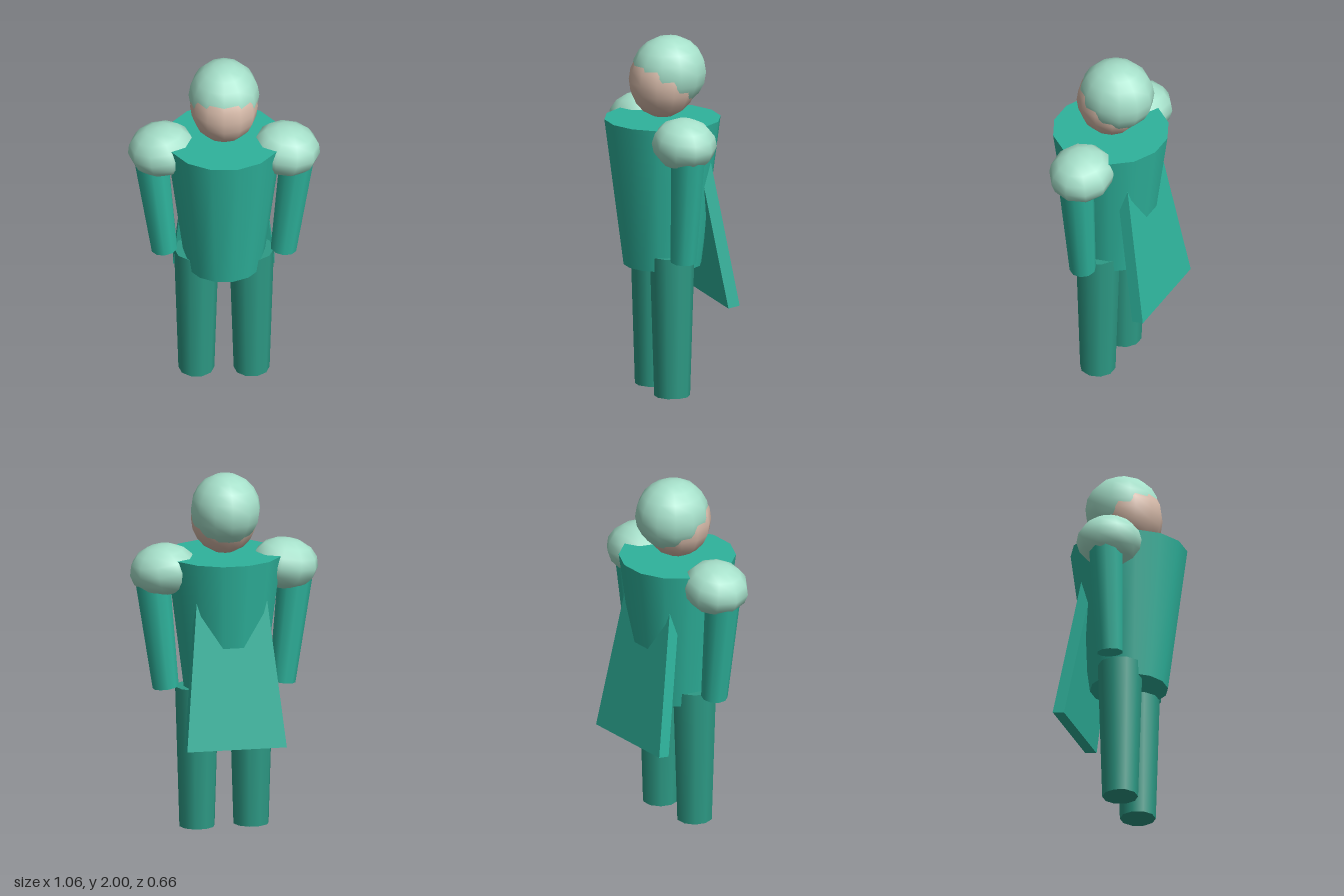
import * as THREE from 'three';

const material = (name, color) => {
  const m = new THREE.MeshStandardMaterial({ color });
  m.name = name;
  return m;
};

export function createModel() {
  const model = new THREE.Group();
  model.name = 'capedFigure';
  const teal = material('teal', 0x2eb39c);
  const darkTeal = material('darkTeal', 0x2d9a85);
  const mint = material('mint', 0xa6e0ca);
  const skin = material('skin', 0xd6baa9);
  const midZ = 0.016;

  const add = (name, geometry, mat, x, y, z) => {
    const mesh = new THREE.Mesh(geometry, mat);
    mesh.name = name;
    mesh.position.set(x, y, z);
    model.add(mesh);
    return mesh;
  };

  // Torso flares towards the shoulders
  add('torso', new THREE.CylinderGeometry(0.323, 0.216, 0.825, 14, 1, false, Math.PI / 2),
    teal, 0, 1.1275, midZ);

  // Head, with a slightly larger hair cap set up and back
  const head = new THREE.SphereGeometry(1, 12, 10).scale(0.187, 0.205, 0.19);
  add('head', head, skin, 0, 1.75, 0.015);
  const hair = new THREE.SphereGeometry(1, 12, 10).scale(0.195, 0.2, 0.21);
  add('hair', hair, mint, 0, 1.8, -0.022);

  // Mirrored limbs
  for (const side of [1, -1]) {
    const label = side > 0 ? 'left' : 'right';
    add(label + 'Leg', new THREE.CylinderGeometry(0.123, 0.099, 0.795, 10, 1, false, Math.PI / 2),
      darkTeal, side * 0.152, 0.3975, midZ);

    const arm = add(label + 'Arm', new THREE.CylinderGeometry(0.098, 0.073, 0.65, 10),
      teal, side * 0.367, 1.12, midZ);
    arm.rotation.z = -side * 0.12;

    const pad = new THREE.SphereGeometry(1, 10, 8).scale(0.188, 0.142, 0.179);
    const shoulder = add(label + 'Shoulder', pad, mint, side * 0.343, 1.466, midZ);
    shoulder.rotation.z = -side * 0.16;
  }

  // Cape: a tapered slab leaning out behind the back, its top buried in the torso
  const outline = new THREE.Shape([
    new THREE.Vector2(-0.28, 0), new THREE.Vector2(0.28, 0),
    new THREE.Vector2(0.185, 0.95), new THREE.Vector2(-0.185, 0.95),
  ]);
  const capeGeometry = new THREE.ExtrudeGeometry(outline, { depth: 0.067, bevelEnabled: false });
  const cape = add('cape', capeGeometry, teal, 0, 0.507, -0.333);
  cape.rotation.x = 0.17;

  return model;
}
